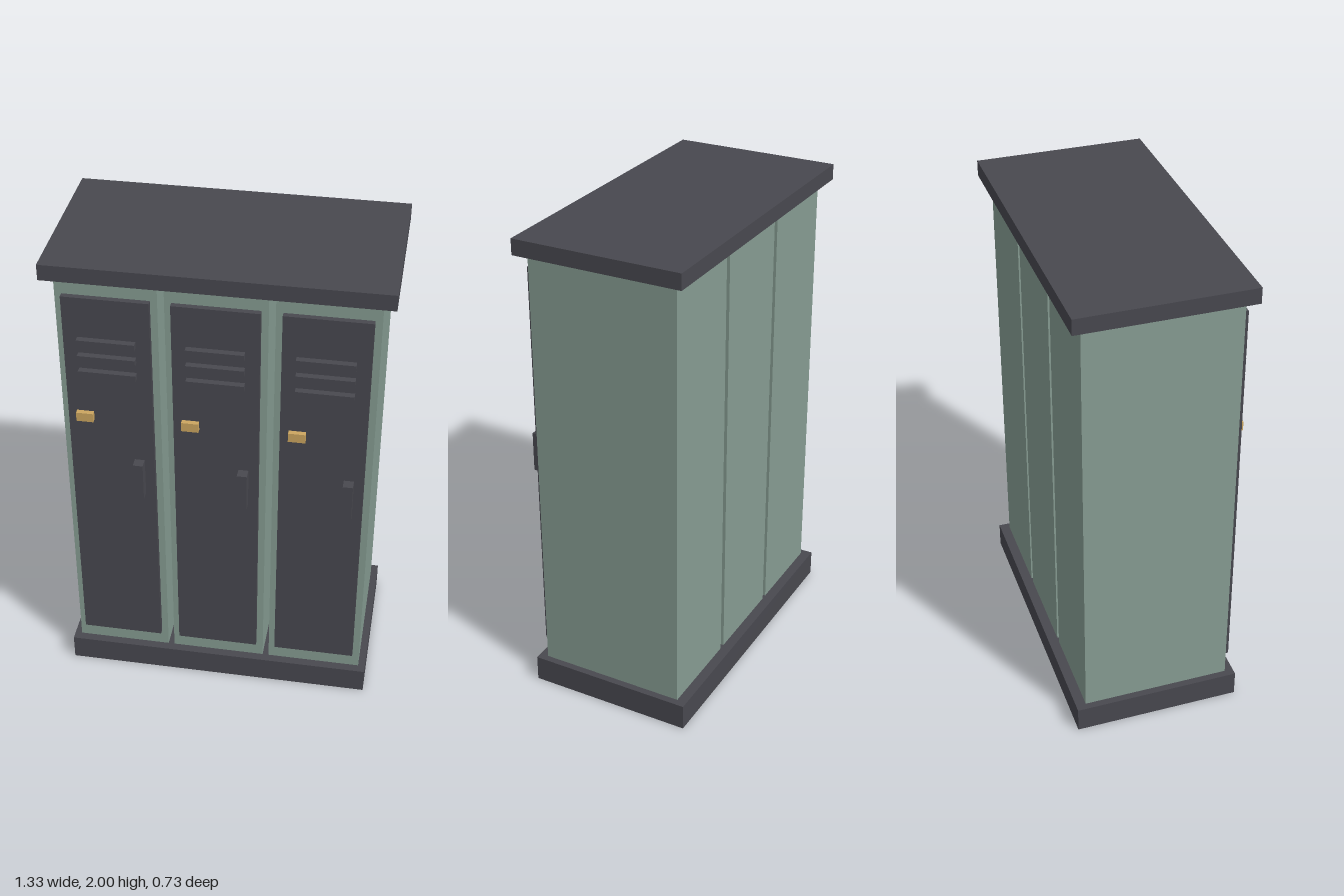
import * as THREE from 'three';

const green = new THREE.MeshStandardMaterial({ name: 'sageGreen', color: 0x869c92 });
const dark = new THREE.MeshStandardMaterial({ name: 'charcoal', color: 0x48484f });
const brass = new THREE.MeshStandardMaterial({ name: 'brass', color: 0xcca660 });

// Box given by centre x, width, and its y and z ranges
function box(name, material, x, width, y0, y1, z0, z1) {
  const mesh = new THREE.Mesh(new THREE.BoxGeometry(width, y1 - y0, z1 - z0), material);
  mesh.name = name;
  mesh.position.set(x, (y0 + y1) / 2, (z0 + z1) / 2);
  return mesh;
}

// One locker: cabinet body, raised door and its fittings
function createLocker() {
  const locker = new THREE.Group();
  locker.name = 'locker';
  const back = 0.3, face = 0.323;
  locker.add(
    box('lockerBody', green, 0, 0.392, 0.11, 1.935, -0.32, back),
    box('door', dark, 0, 0.337, 0.185, 1.865, back, face),
    box('numberPlate', brass, -0.1, 0.068, 1.313, 1.352, face, 0.344),
    box('handle', dark, 0.109, 0.04, 0.968, 1.135, face, 0.365)
  );
  for (let i = 0; i < 3; i++) {
    const y = 1.54 + i * 0.07;
    locker.add(box('ventSlat', dark, 0, 0.225, y - 0.013, y + 0.013, face, 0.349));
  }
  return locker;
}

export function createModel() {
  const model = new THREE.Group();
  model.name = 'lockerBank';

  // Base and top slabs
  model.add(
    box('base', dark, 0, 1.286, 0, 0.11, -0.362, 0.336),
    box('topSlab', dark, 0, 1.326, 1.935, 2, -0.365, 0.336)
  );

  // Three lockers with narrow gaps between them
  for (const i of [-1, 0, 1]) {
    const locker = createLocker();
    locker.position.x = i * 0.418;
    model.add(locker);
  }
  return model;
}
